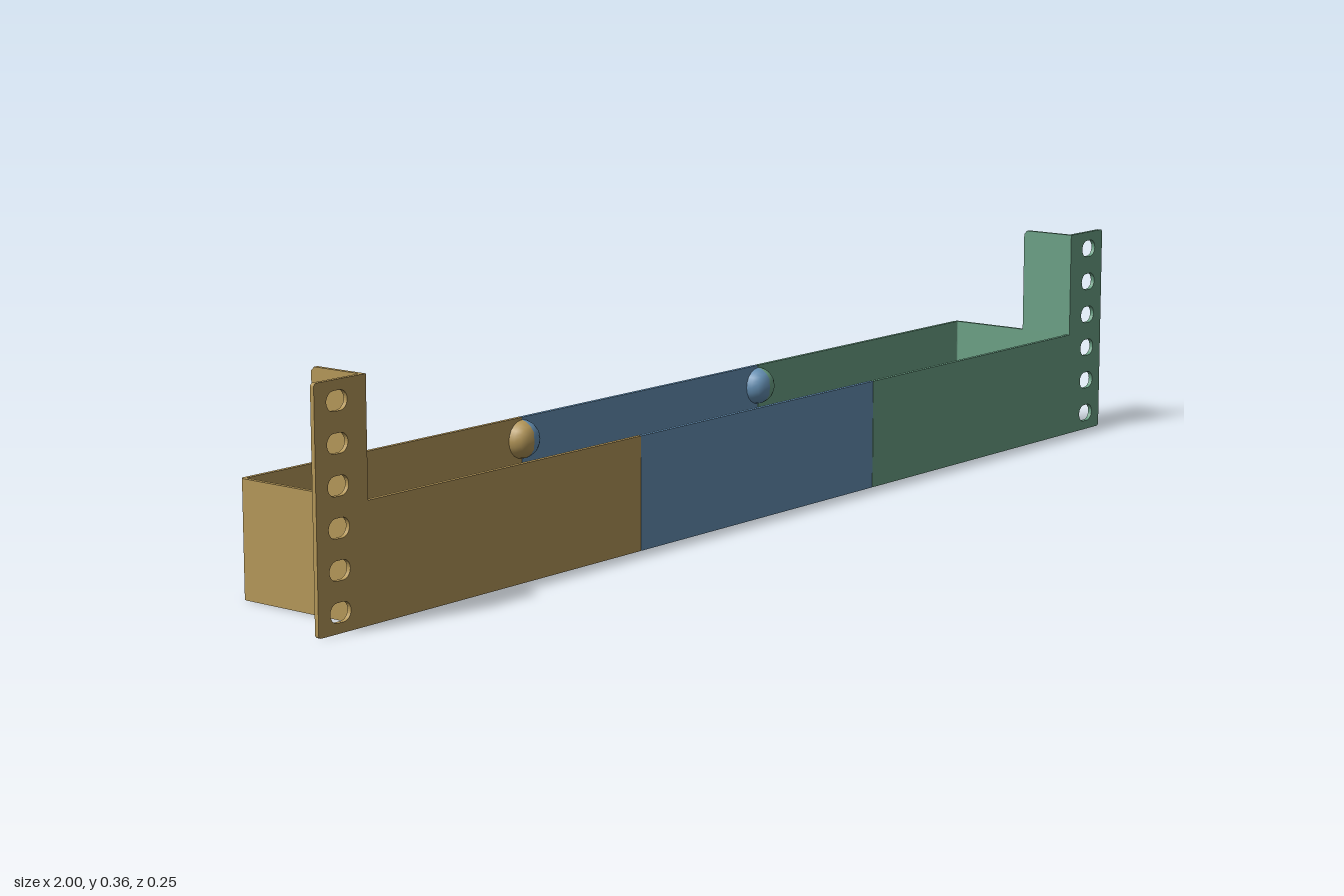
import * as THREE from 'three';

const T = 0.007, H = 0.18, EAR_H = 0.36; // sheet thickness, tray and ear heights
const SEAM = 0.302, END = 0.905, Z = 0.125, R = 0.01;

const material = (name, color) => {
  const m = new THREE.MeshStandardMaterial({ color });
  m.name = name;
  return m;
};

function addMesh(group, name, geometry, mat) {
  const mesh = new THREE.Mesh(geometry, mat);
  mesh.name = name;
  group.add(mesh);
  return mesh;
}

const extrude = (shape, depth) =>
  new THREE.ExtrudeGeometry(shape, { depth, bevelEnabled: false, curveSegments: 8 });

// Extrude a plan drawn in (x, -z) upwards from the ground
const extrudeUp = (shape, height) => extrude(shape, height).rotateX(-Math.PI / 2);

// Plan of an end section; the outer back corner is rounded
function endFloorPlan(s) {
  const p = new THREE.Shape();
  p.moveTo(s * SEAM, -Z);
  p.lineTo(s * END, -Z);
  p.lineTo(s * END, Z - R);
  p.quadraticCurveTo(s * END, Z, s * (END - R), Z);
  p.lineTo(s * SEAM, Z);
  p.closePath();
  return p;
}

// U-shaped plan of the front, end and back walls
function endWallPlan(s) {
  const p = new THREE.Shape();
  p.moveTo(s * SEAM, -Z);
  p.lineTo(s * END, -Z);
  p.lineTo(s * END, Z - R);
  p.quadraticCurveTo(s * END, Z, s * (END - R), Z);
  p.lineTo(s * SEAM, Z);
  p.lineTo(s * SEAM, Z - T);
  p.lineTo(s * (END - R), Z - T);
  p.quadraticCurveTo(s * (END - T), Z - T, s * (END - T), Z - R);
  p.lineTo(s * (END - T), -Z + T);
  p.lineTo(s * SEAM, -Z + T);
  p.closePath();
  return p;
}

// Mounting ear with six slotted holes
function earShape(s) {
  const c = 0.006, p = new THREE.Shape();
  p.moveTo(s * (END - T), 0);
  p.lineTo(s * (1 - c), 0);
  p.quadraticCurveTo(s, 0, s, c);
  p.lineTo(s, EAR_H - c);
  p.quadraticCurveTo(s, EAR_H, s * (1 - c), EAR_H);
  p.lineTo(s * (END - T), EAR_H);
  p.closePath();
  for (let i = 0; i < 6; i++) {
    const y = 0.03 + i * 0.06, x = s * 0.956, r = 0.0145, half = 0.006;
    const hole = new THREE.Path();
    hole.absarc(x + half, y, r, -Math.PI / 2, Math.PI / 2, false);
    hole.absarc(x - half, y, r, Math.PI / 2, Math.PI * 1.5, false);
    hole.closePath();
    p.holes.push(hole);
  }
  return p;
}

// Raised part of the end wall that braces the ear, drawn in (z, y)
function braceGeometry(s) {
  const back = 0.025, c = 0.006, p = new THREE.Shape();
  p.moveTo(back, H);
  p.lineTo(Z, H);
  p.lineTo(Z, EAR_H);
  p.lineTo(back + c, EAR_H);
  p.lineTo(back, EAR_H - c);
  p.closePath();
  return extrude(p, T).rotateY(-Math.PI / 2).translate(s > 0 ? END : -END + T, 0, 0);
}

function endSection(s, name, mat) {
  const g = new THREE.Group();
  g.name = name;
  addMesh(g, 'endFloor', extrudeUp(endFloorPlan(s), T), mat);
  addMesh(g, 'endWalls', extrudeUp(endWallPlan(s), H), mat);
  addMesh(g, 'mountingEar', extrude(earShape(s), T).translate(0, 0, Z - T), mat);
  addMesh(g, 'earBrace', braceGeometry(s), mat);
  return g;
}

function middleSection(mat) {
  const g = new THREE.Group();
  g.name = 'middleSection';
  const w = 2 * SEAM - 0.002;
  addMesh(g, 'middleFloor', new THREE.BoxGeometry(w, T, 2 * Z).translate(0, T / 2, 0), mat);
  for (const s of [-1, 1]) {
    addMesh(g, s > 0 ? 'middleFrontWall' : 'middleBackWall',
      new THREE.BoxGeometry(w, H, T).translate(0, H / 2, s * (Z - T / 2)), mat);
  }
  return g;
}

// Half of a flattened dome on the inside of a wall, on the +x or -x side of the seam
function halfBoss(zSide, xSide) {
  const profile = [[0.031, 0], [0.029, 0.009], [0.023, 0.018], [0.014, 0.025], [0, 0.026]]
    .map(([r, h]) => new THREE.Vector2(r, h));
  return new THREE.LatheGeometry(profile, 10, xSide > 0 ? 0 : Math.PI, Math.PI)
    .rotateX(zSide > 0 ? -Math.PI / 2 : Math.PI / 2);
}

export function createModel() {
  const gold = material('gold', 0xb39658);
  const blue = material('blue', 0x648fb3);
  const green = material('green', 0x6a9f84);
  const model = new THREE.Group();
  model.name = 'rackTray';
  model.add(endSection(-1, 'rightEndSection', gold));
  model.add(middleSection(blue));
  model.add(endSection(1, 'leftEndSection', green));

  // Joining bosses, each split in two colours at its seam
  for (const seam of [-1, 1]) {
    for (const zSide of [-1, 1]) {
      for (const xSide of [-1, 1]) {
        const mat = xSide !== seam ? blue : seam > 0 ? green : gold;
        const boss = addMesh(model, 'joiningBoss', halfBoss(zSide, xSide), mat);
        boss.position.set(seam * SEAM, 0.145, zSide * (Z - T));
      }
    }
  }
  return model;
}
